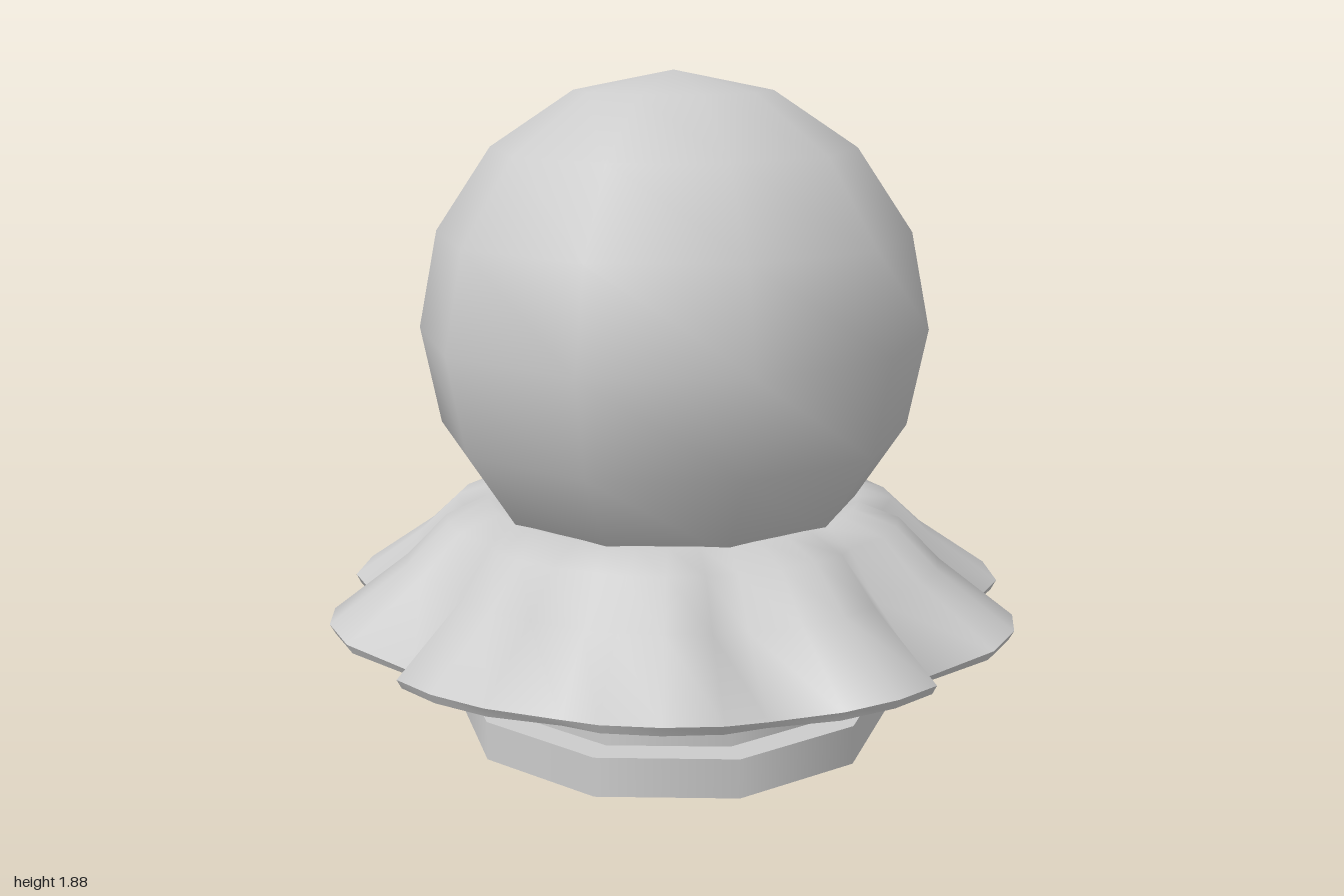
import * as THREE from 'three';
import { mergeGeometries } from 'three/addons/utils/BufferGeometryUtils.js';

const SIDES = 10;
const RUFFLES = 10;
const STEPS = 4; // segments per ruffle
const material = new THREE.MeshStandardMaterial({ color: 0xcccccc });

// Ring stations of the ruffle: [valley radius, valley y, crest radius, crest y]
const UPPER = [
  [0.44, 0.65, 0.44, 0.655],
  [0.53, 0.668, 0.535, 0.677],
  [0.605, 0.62, 0.66, 0.638],
  [0.69, 0.49, 0.78, 0.525],
  [0.85, 0.308, 1.0, 0.372],
];
const LOWER = UPPER.map(([vr, vy, cr, cy]) => [vr - 0.015, vy - 0.022, cr - 0.015, cy - 0.028]);

// Smooth band through a list of stations, waving around the axis
function wavyBand(stations) {
  const n = RUFFLES * STEPS;
  const positions = [];
  const index = [];
  stations.forEach(([vr, vy, cr, cy], j) => {
    for (let i = 0; i < n; i++) {
      const a = (i / n) * Math.PI * 2;
      const w = [0, 0.88, 1, 0.88][i % STEPS]; // 0 in the valley, 1 on the crest
      const r = vr + (cr - vr) * w;
      positions.push(r * Math.cos(a), vy + (cy - vy) * w, r * Math.sin(a));
      if (j === stations.length - 1) continue;
      const p = j * n + i;
      const q = j * n + ((i + 1) % n);
      index.push(p, q, p + n, q, q + n, p + n);
    }
  });
  const geometry = new THREE.BufferGeometry();
  geometry.setAttribute('position', new THREE.Float32BufferAttribute(positions, 3));
  geometry.setIndex(index);
  geometry.computeVertexNormals();
  return geometry;
}

export function createModel() {
  const group = new THREE.Group();
  const add = (name, geometry, y = 0) => {
    const mesh = new THREE.Mesh(geometry, material);
    mesh.name = name;
    mesh.position.y = y;
    group.add(mesh);
  };
  const disc = (radius, height) =>
    new THREE.CylinderGeometry(radius, radius, height, SIDES, 1, false, Math.PI / 2);

  // Stepped foot
  add('base', disc(0.63, 0.112), 0.056);
  add('baseStep', disc(0.545, 0.112), 0.167);

  // Bulging neck under the ruffle
  const neck = [[0.545, 0.222], [0.598, 0.29], [0.617, 0.35], [0.59, 0.44], [0.53, 0.53], [0.45, 0.62]]
    .map(([r, y]) => new THREE.Vector2(r, y));
  add('neck', new THREE.LatheGeometry(neck, SIDES, Math.PI / 2));

  // Ruffled collar: outer cloth, hem edge and underside
  add('ruffle', mergeGeometries([
    wavyBand(UPPER),
    wavyBand([UPPER.at(-1), LOWER.at(-1)]),
    wavyBand([...LOWER].reverse()),
  ]));

  // Globe
  add('globe', new THREE.SphereGeometry(0.725, SIDES, 8), 1.16);

  return group;
}
